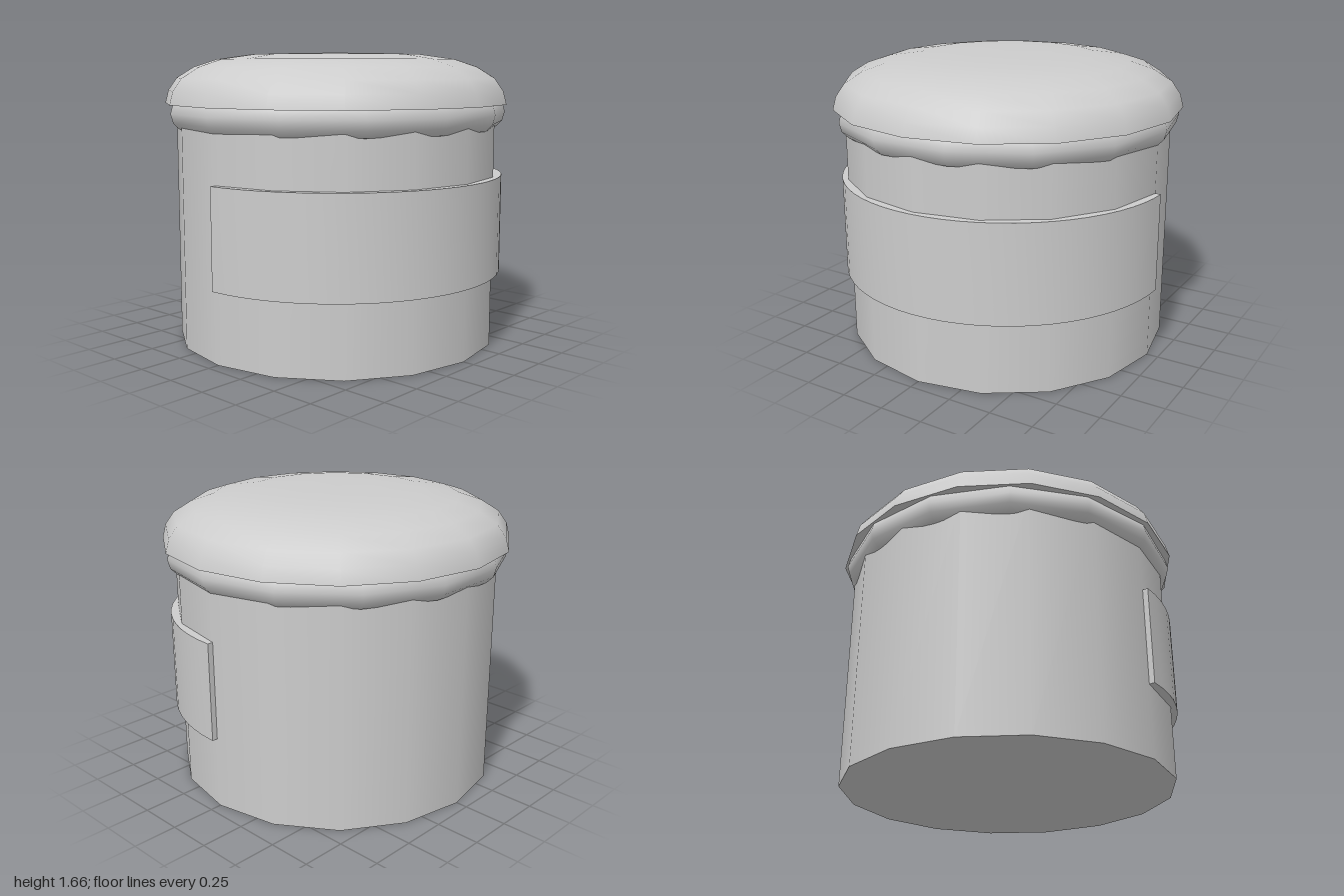
import * as THREE from 'three';
import { toCreasedNormals } from 'three/addons/utils/BufferGeometryUtils.js';

const SIDES = 16;

export function createModel() {
  const group = new THREE.Group();
  const grey = new THREE.MeshStandardMaterial({ color: 0xcccccc });
  grey.name = 'grey';

  const add = (name, geometry, y = 0) => {
    const mesh = new THREE.Mesh(geometry, grey);
    mesh.name = name;
    mesh.position.y = y;
    group.add(mesh);
    return mesh;
  };

  // Jar body
  add('body', new THREE.CylinderGeometry(0.935, 0.935, 1.34, SIDES), 0.67);

  // Label band wrapped around the front half
  const arc = new THREE.Shape();
  arc.absarc(0, 0, 0.967, 0, Math.PI, false);
  arc.absarc(0, 0, 0.91, Math.PI, 0, true);
  arc.closePath();
  const band = new THREE.ExtrudeGeometry(arc, { depth: 0.56, bevelEnabled: false, curveSegments: 16 });
  band.rotateX(Math.PI / 2);
  add('label', toCreasedNormals(band, Math.PI / 5), 0.97);

  // Rolled collar under the lid
  const collar = new THREE.TorusGeometry(0.88, 0.103, 12, 14);
  collar.rotateX(Math.PI / 2);
  add('collar', collar, 1.325);

  // Domed lid
  const profile = [
    [1, 1.375], [0.98, 1.45], [0.93, 1.52], [0.83, 1.582],
    [0.7, 1.625], [0.5, 1.653], [0.25, 1.66], [0, 1.663],
  ].map(([r, y]) => new THREE.Vector2(r, y));
  add('lid', new THREE.LatheGeometry(profile, SIDES));

  // Flat underside of the lid
  const underside = new THREE.CircleGeometry(1, SIDES);
  underside.rotateX(Math.PI / 2);
  add('lidUnderside', underside, 1.375);

  return group;
}
